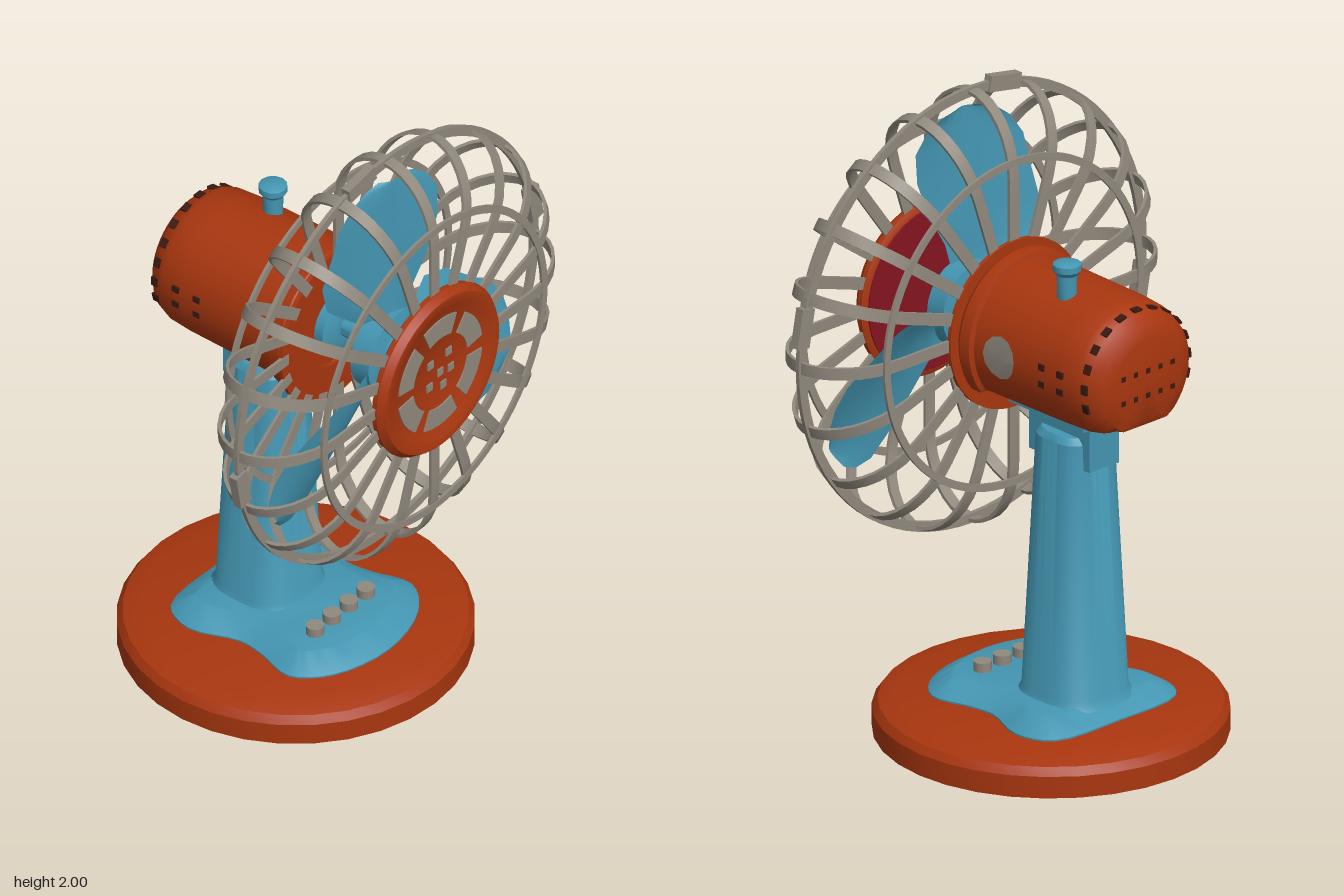
import * as THREE from 'three';
import { toCreasedNormals } from 'three/addons/utils/BufferGeometryUtils.js';

const paint = (name, color, side = THREE.FrontSide) => {
  const m = new THREE.MeshStandardMaterial({ color, side });
  m.name = name;
  return m;
};

export function createModel() {
  const red = paint('orange red', 0xa8360f);
  const blue = paint('teal blue', 0x4496b2, THREE.DoubleSide);
  const grey = paint('warm grey', 0x8f887d);
  const dark = paint('vent black', 0x3a1a10);
  const maroon = paint('dark red', 0x85141f);

  const model = new THREE.Group();
  const AXIS = 1.27; // height of the fan axle
  const head = new THREE.Group();
  head.name = 'head';
  head.position.y = AXIS;
  model.add(head);

  const add = (parent, name, geo, mat, x = 0, y = 0, z = 0) => {
    const m = new THREE.Mesh(geo, mat);
    m.name = name;
    m.position.set(x, y, z);
    parent.add(m);
    return m;
  };
  const lathe = (pts, seg = 32) =>
    new THREE.LatheGeometry(pts.map(p => new THREE.Vector2(...p)), seg);
  // turned part along z, profile given as [radius, z] from back to front
  const turned = (pts, seg = 32) => toCreasedNormals(lathe(pts, seg).rotateX(Math.PI / 2), 0.6);
  const extrude = (shape, depth, opts = {}) => new THREE.ExtrudeGeometry(shape,
    { depth, bevelEnabled: false, curveSegments: 20, ...opts });
  // flat ring or ring sector facing z, centred on z = 0
  const sector = (r0, r1, a0, a1, depth) => {
    const s = new THREE.Shape();
    s.absarc(0, 0, r1, a0, a1, false);
    s.absarc(0, 0, r0, a1, a0, true);
    s.closePath();
    return extrude(s, depth).translate(0, 0, -depth / 2);
  };
  const ring = (r0, r1, depth) => {
    const s = new THREE.Shape().absarc(0, 0, r1, 0, Math.PI * 2, false);
    s.holes.push(new THREE.Path().absarc(0, 0, r0, 0, Math.PI * 2, true));
    return extrude(s, depth, { curveSegments: 40 }).translate(0, 0, -depth / 2);
  };

  // base disc
  add(model, 'base', toCreasedNormals(lathe(
    [[0, 0], [0.538, 0], [0.538, 0.07], [0.52, 0.095], [0.46, 0.115], [0, 0.115]]), 0.6), red, 0, 0, -0.02);

  // waisted plate with sloping sides
  const half = [[0.2, 0.29], [0.29, 0.19], [0.26, 0.06], [0.25, -0.03], [0.3, -0.19], [0.25, -0.3]];
  const outline = [[0, 0.34], ...half, [0, -0.32], ...half.map(([x, z]) => [-x, z]).reverse()];
  const curve = new THREE.CatmullRomCurve3(
    outline.map(([x, z]) => new THREE.Vector3(x, -z, 0)), true);
  const plateShape = new THREE.Shape(curve.getPoints(56).slice(0, -1).map(p => new THREE.Vector2(p.x, p.y)));
  add(model, 'basePlate', toCreasedNormals(extrude(plateShape, 0.01,
    { bevelEnabled: true, bevelThickness: 0.045, bevelSize: 0.07, bevelOffset: -0.07, bevelSegments: 1 })
    .rotateX(-Math.PI / 2), 0.6), blue, 0, 0.11, 0);

  // speed buttons
  for (let i = 0; i < 4; i++) {
    add(model, 'speedButton', new THREE.CylinderGeometry(0.028, 0.028, 0.04, 12), grey,
      -0.123 + i * 0.08, 0.175, 0.155);
  }

  // tapered column with a rounded square section
  const column = lathe([[0.16, 0.15], [0.143, 0.18], [0.105, 1.0], [0.09, 1.02], [0, 1.02]], 40);
  const cp = column.attributes.position;
  for (let i = 0; i < cp.count; i++) {
    const x = cp.getX(i), z = cp.getZ(i), r = Math.hypot(x, z);
    if (r < 1e-6) continue;
    const k = 1 / Math.pow(Math.abs(x / r) ** 3 + Math.abs(z / r) ** 3, 1 / 3);
    cp.setX(i, x * k);
    cp.setZ(i, z * k);
  }
  add(model, 'column', toCreasedNormals(column, 0.6), blue, 0, 0, -0.125);

  // tilt joint
  add(model, 'neck', new THREE.BoxGeometry(0.12, 0.2, 0.265), blue, 0, 1.02, -0.12);
  add(model, 'neckPlate', new THREE.BoxGeometry(0.22, 0.05, 0.33), blue, 0, 1.1, -0.115);

  // motor housing, flattened underneath
  const housing = lathe([[0, -0.445], [0.13, -0.445], [0.175, -0.432], [0.205, -0.405], [0.222, -0.36],
    [0.228, -0.28], [0.232, 0.07], [0.248, 0.075], [0.25, 0.085], [0.25, 0.115], [0.238, 0.132], [0, 0.132]], 48)
    .rotateX(Math.PI / 2);
  const hp = housing.attributes.position;
  for (let i = 0; i < hp.count; i++) hp.setY(i, Math.max(hp.getY(i), -0.15));
  add(head, 'motorHousing', toCreasedNormals(housing, 0.6), red);

  // cooling slots around the rear and on the flanks
  for (let i = 0; i < 13; i++) {
    const a = -0.25 + i * (Math.PI + 0.5) / 12;
    const slot = add(head, 'coolingSlot', new THREE.BoxGeometry(0.008, 0.03, 0.024), dark,
      Math.cos(a) * 0.212, Math.sin(a) * 0.212, -0.392);
    slot.rotation.z = a;
  }
  for (const s of [-1, 1]) for (const z of [-0.22, -0.3]) for (const y of [-0.02, 0.035]) {
    add(head, 'sideSlot', new THREE.BoxGeometry(0.008, 0.02, 0.025), dark, s * 0.226, y, z);
  }
  for (const x of [-0.1, -0.05, 0, 0.05, 0.1]) for (const y of [-0.05, 0.03]) {
    add(head, 'rearSlot', new THREE.BoxGeometry(0.016, 0.016, 0.006), dark, x, y, -0.444);
  }

  // round badge plate wrapped on the left flank
  const badge = new THREE.CircleGeometry(0.068, 12).rotateY(Math.PI / 2);
  const bp = badge.attributes.position;
  for (let i = 0; i < bp.count; i++) bp.setX(i, Math.sqrt(0.236 ** 2 - (bp.getY(i) + 0.01) ** 2));
  badge.computeVertexNormals();
  add(head, 'sideBadge', badge, grey, 0, 0.01, -0.04);

  // oscillation knob
  add(head, 'oscillationKnob', toCreasedNormals(lathe(
    [[0.03, 0.2], [0.032, 0.28], [0.044, 0.295], [0.044, 0.315], [0.03, 0.322], [0, 0.322]], 12), 0.6),
    blue, 0.075, 0, -0.17);

  // axle and blade hub
  add(head, 'axle', turned([[0, 0.13], [0.1, 0.13], [0.1, 0.165], [0.06, 0.18], [0.035, 0.18],
    [0.035, 0.27], [0.09, 0.27], [0.09, 0.3], [0.14, 0.305], [0.14, 0.375], [0.09, 0.385],
    [0.09, 0.42], [0.07, 0.43], [0, 0.43]], 24), blue);

  // three twisted blades, rows of [radius, left edge, right edge]
  const rows = [[0.08, -0.05, 0.04], [0.2, -0.19, 0.07], [0.3, -0.215, 0.12], [0.42, -0.195, 0.165],
    [0.52, -0.18, 0.178], [0.585, -0.14, 0.145], [0.625, -0.09, 0.095], [0.64, -0.04, 0.045]];
  const blade = new THREE.PlaneGeometry(1, 1, 8, rows.length - 1);
  const pos = blade.attributes.position;
  for (let i = 0; i < pos.count; i++) {
    const [r, l, e] = rows[rows.length - 1 - Math.floor(i / 9)];
    const u = (i % 9) / 8;
    const t = l + (e - l) * u;
    pos.setXYZ(i, t, r, 0.34 + t * (0.56 - r * 0.6) + 0.02 * Math.sin(u * Math.PI));
  }
  blade.computeVertexNormals();
  for (let i = 0; i < 3; i++) {
    add(head, 'blade', blade, blue).rotation.z = i * Math.PI * 2 / 3;
  }

  // guard ribs: flat strips bent around the rim
  const bend = (rx, rz) => Array.from({ length: 17 }, (_, i) => {
    const a = Math.PI / 2 - i * Math.PI / 16;
    return new THREE.Vector2(0.46 + rx * Math.cos(a), 0.33 + rz * Math.sin(a));
  });
  const outer = [new THREE.Vector2(0.24, 0.52), ...bend(0.245, 0.19), new THREE.Vector2(0.24, 0.14)];
  const inner = [new THREE.Vector2(0.24, 0.51), ...bend(0.234, 0.18), new THREE.Vector2(0.24, 0.15)];
  const ribGeo = toCreasedNormals(extrude(new THREE.Shape([...outer, ...inner.reverse()]), 0.038)
    .translate(0, 0, -0.019).rotateX(Math.PI / 2), 0.6);
  for (let i = 0; i < 20; i++) {
    add(head, 'guardRib', ribGeo, grey).rotation.z = i * Math.PI / 10;
  }

  // guard rings and rim clips
  add(head, 'guardRim', ring(0.682, 0.713, 0.014), grey, 0, 0, 0.33);
  for (const z of [0.145, 0.514]) add(head, 'guardRing', ring(0.508, 0.532, 0.01), grey, 0, 0, z);
  for (const deg of [10.5, 100.5, 190.5]) {
    const a = deg * Math.PI / 180;
    const clip = add(head, 'rimClip', new THREE.BoxGeometry(0.05, 0.125, 0.03), grey,
      Math.cos(a) * 0.702, Math.sin(a) * 0.702, 0.33);
    clip.rotation.z = a;
  }

  // rear mount of the guard
  add(head, 'guardMount', ring(0.15, 0.27, 0.014), red, 0, 0, 0.14);

  // front cap with a raised rim
  add(head, 'frontCap', turned([[0, 0.5], [0.27, 0.5], [0.285, 0.508], [0.285, 0.525], [0.268, 0.548],
    [0.24, 0.548], [0.222, 0.536], [0, 0.536]], 40), red);
  add(head, 'capLining', new THREE.CylinderGeometry(0.265, 0.265, 0.006, 40).rotateX(Math.PI / 2),
    maroon, 0, 0, 0.498);
  for (let i = 0; i < 6; i++) {
    const a = Math.PI / 6 + i * Math.PI / 3;
    add(head, 'capInlay', sector(0.128, 0.197, a - 0.4, a + 0.4, 0.008), grey, 0, 0, 0.537);
  }
  // small centre inlays
  for (const [x, y] of [[0, 0], [0.04, 0.055], [-0.045, 0.05], [0.05, -0.01], [-0.05, -0.03], [0.015, -0.055]]) {
    add(head, 'centreInlay', new THREE.BoxGeometry(0.026, 0.026, 0.008), grey, x, y, 0.537);
  }

  return model;
}
